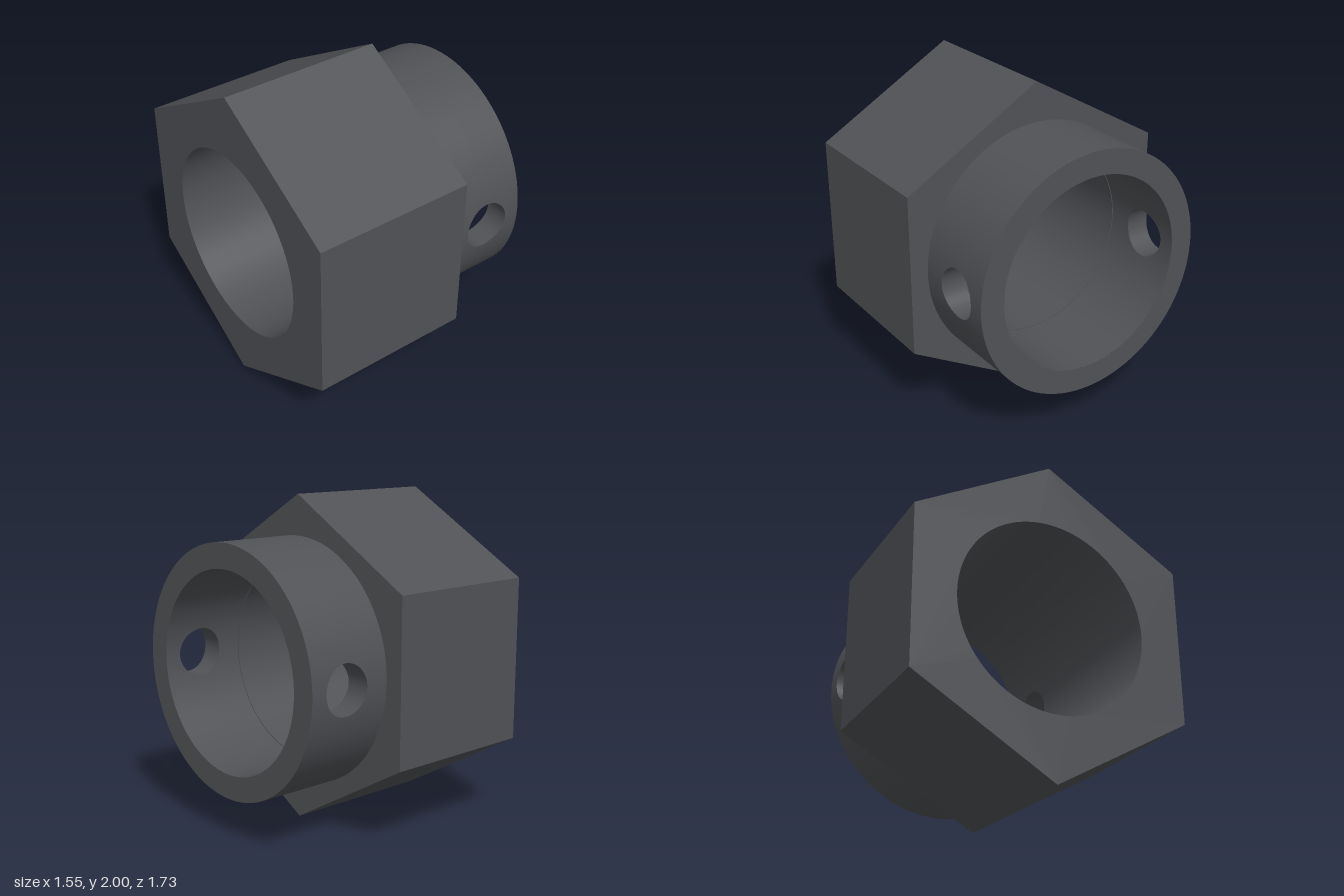
import * as THREE from 'three';
import { toCreasedNormals } from 'three/addons/utils/BufferGeometryUtils.js';
import { ParametricGeometry } from 'three/addons/geometries/ParametricGeometry.js';

const X0 = -0.775, X1 = 0.225, X2 = 0.775;      // hex start, shoulder, collar end
const HEX_BORE = 0.6, BORE = 0.605, OUTER = 0.755;
const HOLE_X = 0.525, HOLE_R = 0.15;            // cross hole through the collar
const HALF = 0.5;                               // half angle of the wall patch round a hole

export function createModel() {
  const model = new THREE.Group();
  model.name = 'hexNutWithCollar';
  const body = new THREE.Group();
  body.name = 'body';
  body.position.y = 1;                          // bore axis runs along x at y = 1
  model.add(body);
  const material = new THREE.MeshStandardMaterial({ color: 0x505256 });

  const add = (name, geometry, parent = body) => {
    const mesh = new THREE.Mesh(geometry, material);
    mesh.name = name;
    parent.add(mesh);
    return mesh;
  };

  // Hexagonal body with a round bore
  const hex = new THREE.Shape();
  for (let i = 0; i < 6; i++) {
    const a = Math.PI / 2 + i * Math.PI / 3;
    if (i) hex.lineTo(Math.cos(a), Math.sin(a));
    else hex.moveTo(Math.cos(a), Math.sin(a));
  }
  hex.closePath();
  hex.holes.push(new THREE.Path().absarc(0, 0, HEX_BORE, 0, Math.PI * 2, true));
  const hexGeometry = new THREE.ExtrudeGeometry(hex, { depth: X1 - X0, bevelEnabled: false, curveSegments: 96 });
  hexGeometry.rotateY(Math.PI / 2).translate(X0, 0, 0);
  add('hexBody', toCreasedNormals(hexGeometry, 0.5));

  // Collar end face
  const end = new THREE.RingGeometry(BORE, OUTER, 128);
  add('collarEndFace', end.rotateY(Math.PI / 2).translate(X2, 0, 0));

  // Point on a cylinder round x; angle 0 faces +z
  const onCylinder = (x, a, r, target) => target.set(x, r * Math.sin(a), r * Math.cos(a));

  // Wall patch spreading from the hole rim out to a rectangle
  const patch = (r, inside) => new ParametricGeometry((u, v, target) => {
    const k = inside ? 1 - u : u, t = v * Math.PI * 2;
    const c = Math.cos(t), s = Math.sin(t), m = Math.max(Math.abs(c), Math.abs(s));
    const rimA = Math.asin(HOLE_R * s / r);
    const edgeX = HOLE_X + c / m * (c > 0 ? X2 - HOLE_X : HOLE_X - X1);
    const x = THREE.MathUtils.lerp(HOLE_X + HOLE_R * c, edgeX, k);
    onCylinder(x, THREE.MathUtils.lerp(rimA, HALF * s / m, k), r, target);
  }, 10, 96);

  // Plain wall between the two patches
  const plain = (r, inside) => new ParametricGeometry((u, v, target) => {
    const x = THREE.MathUtils.lerp(X1, X2, inside ? 1 - u : u);
    onCylinder(x, THREE.MathUtils.lerp(HALF, Math.PI - HALF, v), r, target);
  }, 2, 48);

  // Wall of the cross hole
  const holeWall = () => new ParametricGeometry((u, v, target) => {
    const t = v * Math.PI * 2, y = HOLE_R * Math.sin(t);
    const z = THREE.MathUtils.lerp(Math.sqrt(BORE ** 2 - y * y), Math.sqrt(OUTER ** 2 - y * y), u);
    target.set(HOLE_X + HOLE_R * Math.cos(t), y, z);
  }, 2, 96);

  // The collar is two identical halves, turned half a turn about the bore
  for (const side of ['front', 'back']) {
    const half = new THREE.Group();
    half.name = side + 'CollarHalf';
    if (side === 'back') half.rotation.x = Math.PI;
    body.add(half);
    add('outerWallRoundHole', patch(OUTER, false), half);
    add('innerWallRoundHole', patch(BORE, true), half);
    add('outerWall', plain(OUTER, false), half);
    add('innerWall', plain(BORE, true), half);
    add('crossHoleWall', holeWall(), half);
  }
  return model;
}
